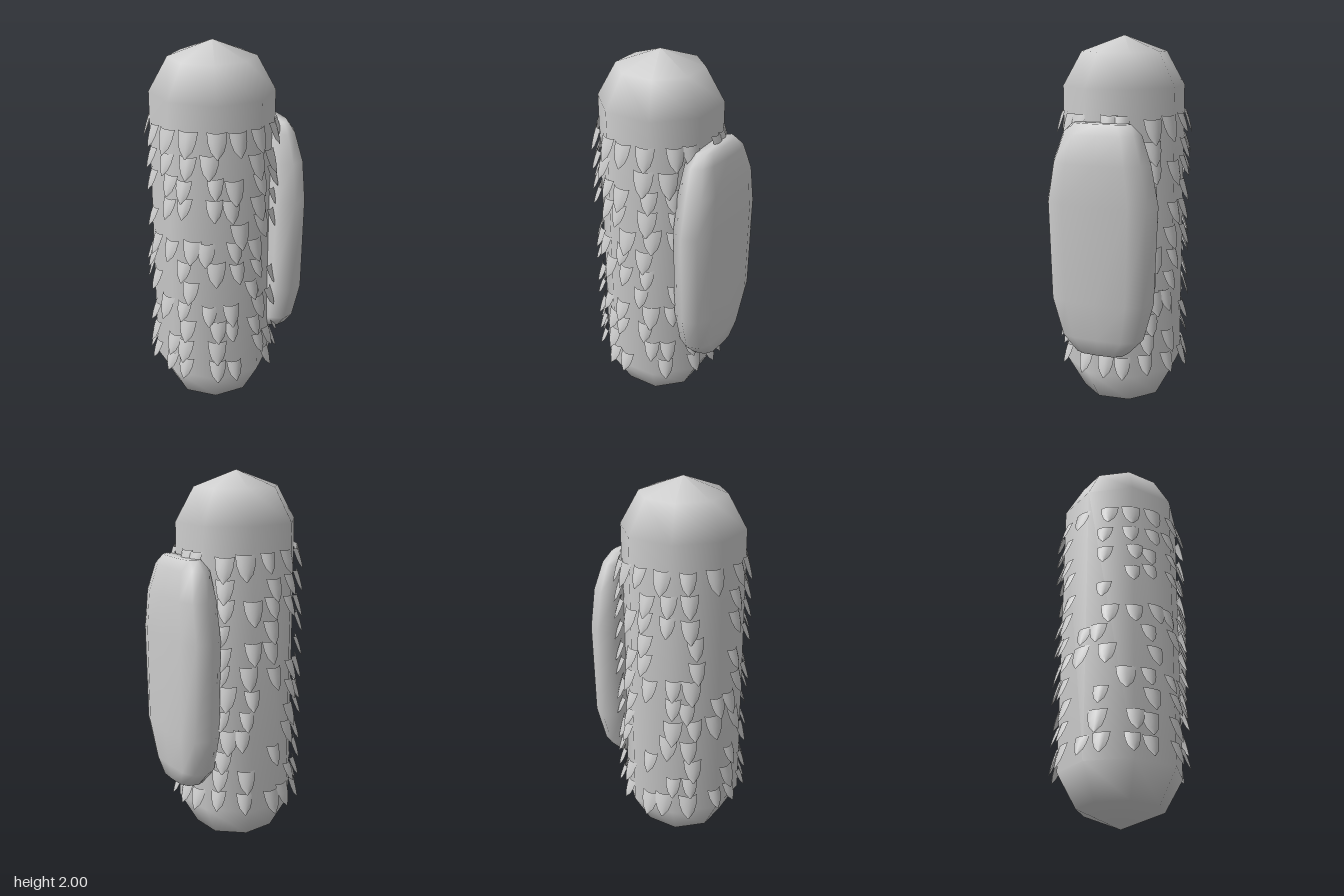
import * as THREE from 'three';

const AXIS_X = -0.05; // body axis
const material = new THREE.MeshStandardMaterial({ color: 0xcccccc });
const thinMaterial = new THREE.MeshStandardMaterial({ color: 0xcccccc, side: THREE.DoubleSide });

// Small seeded generator for the uneven scale layout
function seeded(seed) {
  return () => {
    seed = (seed * 16807) % 2147483647;
    return seed / 2147483647;
  };
}

function fromTriangles(positions, index) {
  const geometry = new THREE.BufferGeometry();
  geometry.setAttribute('position', new THREE.Float32BufferAttribute(positions, 3));
  geometry.setIndex(index);
  geometry.computeVertexNormals();
  return geometry;
}

// Eight-sided capsule
function bodyGeometry() {
  const profile = [[0, 0], [0.22, 0.09], [0.315, 0.26], [0.315, 1.75], [0.22, 1.92], [0, 2]];
  return new THREE.LatheGeometry(profile.map(([r, y]) => new THREE.Vector2(r, y)), 8, THREE.MathUtils.degToRad(26.6));
}

// Rounded slab lofted upward from one unit outline
function podGeometry() {
  const outline = [[1, 0], [0.97, 0.58], [0.8, 0.88], [0.42, 1], [0, 0.82],
    [0, -0.82], [0.42, -1], [0.8, -0.88], [0.97, -0.58]];
  // y, inner x, outer x, half depth
  const rings = [[0.415, 0.22, 0.355, 0.14], [0.5, 0.205, 0.37, 0.22], [0.7, 0.2, 0.395, 0.275],
    [1.2, 0.2, 0.39, 0.293], [1.4, 0.205, 0.385, 0.255], [1.54, 0.215, 0.35, 0.205], [1.59, 0.24, 0.32, 0.15]];
  const n = outline.length, positions = [], index = [];
  for (const [y, x0, x1, hz] of rings) {
    for (const [u, w] of outline) positions.push(x0 + (x1 - x0) * u, y, hz * w);
  }
  const top = (rings.length - 1) * n, bottomCentre = rings.length * n, topCentre = bottomCentre + 1;
  positions.push(0.285, rings[0][0], 0, 0.28, rings[rings.length - 1][0], 0);
  for (let j = 0; j < n; j++) {
    const k = (j + 1) % n;
    for (let i = 0; i < top; i += n) {
      index.push(i + j, i + n + j, i + k, i + k, i + n + j, i + n + k);
    }
    index.push(bottomCentre, j, k, topCentre, top + k, top + j);
  }
  return fromTriangles(positions, index);
}

// Shield-shaped scale: bowed across, flaring outward to a pointed tip (+z is outward)
function scaleGeometry() {
  // drop from the top edge, half width, distance from the body axis
  const rows = [[0, 0.046, 0.322], [0.045, 0.041, 0.337], [0.08, 0.03, 0.346], [0.112, 0.003, 0.352]];
  const positions = [], index = [], columns = 5;
  rows.forEach(([drop, half, r], i) => {
    for (let j = 0; j < columns; j++) {
      const u = (j / (columns - 1)) * 2 - 1;
      const lift = i === 0 ? 0.004 * u * u : 0;
      positions.push(u * half, lift - drop, r - 0.016 * u * u * (half / 0.046));
    }
  });
  for (let i = 0; i < rows.length - 1; i++) {
    for (let j = 0; j < columns - 1; j++) {
      const a = i * columns + j, b = a + columns;
      index.push(a, b, a + 1, a + 1, b, b + 1);
    }
  }
  return fromTriangles(positions, index);
}

// Sixteen slots per row, counted from +x through +z; # holds a scale
const SCALE_ROWS = [
  '################',
  '..##.####.###.#.',
  '..#######.######',
  '..######..#.#.#.',
  '..###...#.#.###.',
  '...######.#####.',
  '...####.####.##.',
  '..##..#.####.##.',
  '..######..##.##.',
  '...####.#.#.#.#.',
  '.###.####.##.##.',
  '###.############',
];

function scales() {
  const group = new THREE.Group();
  group.name = 'scales';
  const geometry = scaleGeometry();
  const random = seeded(4127);
  SCALE_ROWS.forEach((row, i) => {
    [...row].forEach((slot, k) => {
      const jitter = (random() - 0.5) * 0.2;
      const lift = (random() - 0.5) * 0.03;
      const size = 0.86 + random() * 0.26;
      if (slot !== '#') return;
      const scale = new THREE.Mesh(geometry, thinMaterial);
      scale.name = 'scale';
      scale.position.set(AXIS_X, 1.615 - i * 0.1125 + lift, 0);
      scale.rotation.y = Math.PI / 2 - (k * Math.PI / 8 + jitter);
      scale.scale.set(size, size, 1);
      group.add(scale);
    });
  });
  return group;
}

export function createModel() {
  const model = new THREE.Group();
  model.name = 'scaledCapsule';

  const body = new THREE.Mesh(bodyGeometry(), material);
  body.name = 'body';
  body.position.x = AXIS_X;

  const pod = new THREE.Mesh(podGeometry(), material);
  pod.name = 'sidePod';

  model.add(body, pod, scales());
  return model;
}
